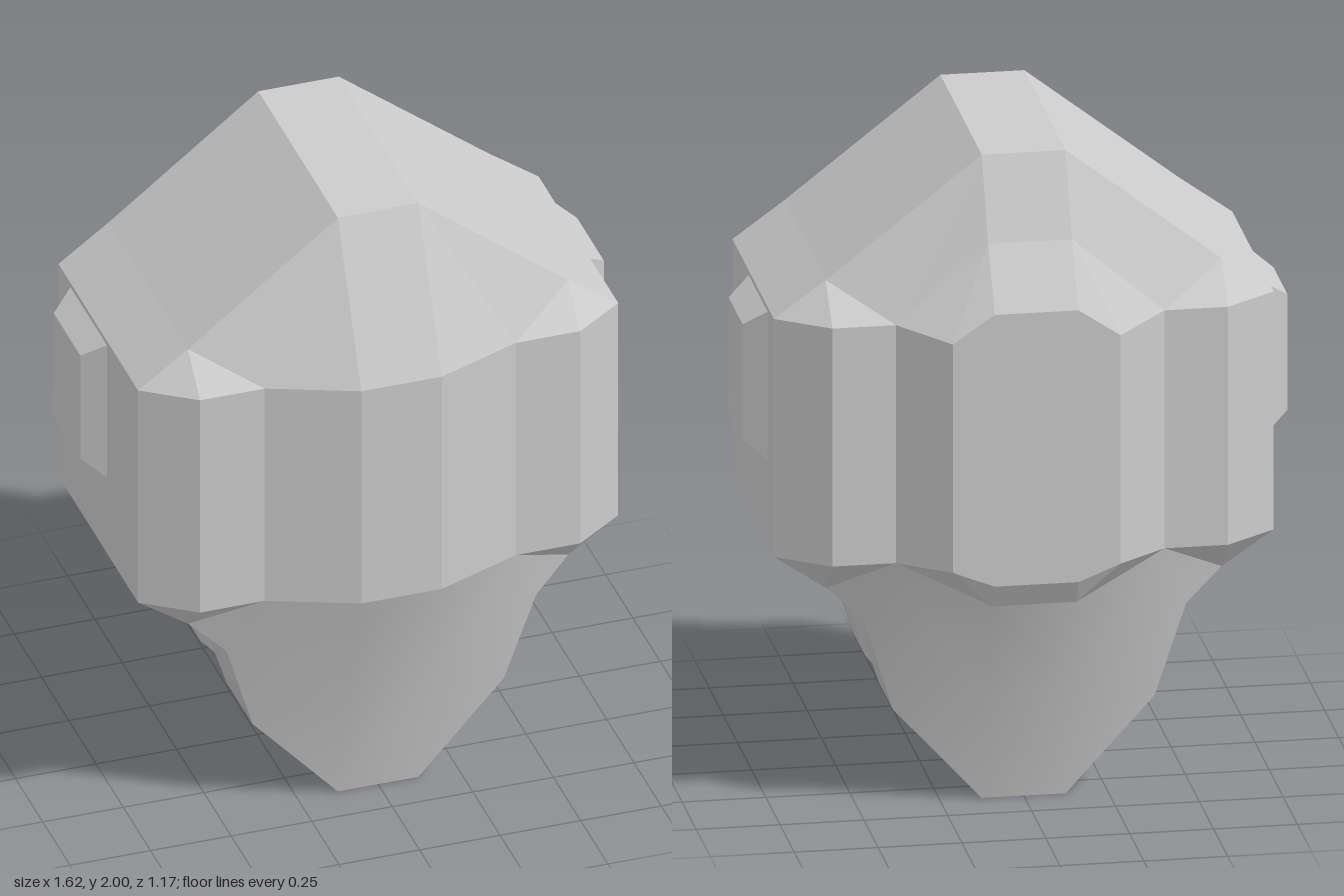
import * as THREE from 'three';
import { toCreasedNormals } from 'three/addons/utils/BufferGeometryUtils.js';

const flip = ([x, y, z]) => [-x, y, z];

// Collects convex polygons, each turned to face away from an inner point.
function shell(inner) {
  const pos = [];
  const centre = new THREE.Vector3(...inner);
  const tri = (a, b, c) => {
    const [p, q, r] = [a, b, c].map((v) => new THREE.Vector3(...v));
    const n = q.clone().sub(p).cross(r.clone().sub(p));
    const mid = p.clone().add(q).add(r).divideScalar(3).sub(centre);
    pos.push(...a, ...(n.dot(mid) < 0 ? [...c, ...b] : [...b, ...c]));
  };
  const poly = (pts) => {
    for (let i = 1; i < pts.length - 1; i++) tri(pts[0], pts[i], pts[i + 1]);
  };
  return {
    // a face on the left and its mirror image on the right
    pair(...pts) { poly(pts); poly(pts.map(flip)); },
    // a face crossing the middle, given by its left half
    span(...pts) { poly([...pts, ...pts.map(flip).reverse()]); },
    mesh(name, crease = 0) {
      let g = new THREE.BufferGeometry();
      g.setAttribute('position', new THREE.Float32BufferAttribute(pos, 3));
      if (crease) g = toCreasedNormals(g, crease);
      else g.computeVertexNormals();
      const m = new THREE.Mesh(g, new THREE.MeshStandardMaterial({ color: 0xcccccc, flatShading: !crease }));
      m.name = name;
      return m;
    },
  };
}

const TOP = 1.525, LOW = 0.785;
const zSide = { 1: 0.37, [-1]: -0.36 };   // side wall ends
const zCheek = { 1: 0.48, [-1]: -0.475 }; // cheek face depth

function makeWalls() {
  const s = shell([0, 1.15, 0]);
  const outlines = [
    [[0.745, 0], [0.745, 0.37], [0.59, 0.48], [0.39, 0.48], [0.125, 0.585], [0, 0.585]],
    [[0.745, 0], [0.745, -0.36], [0.59, -0.475], [0.4, -0.475]],
  ];
  for (const o of outlines) {
    for (let i = 0; i < o.length - 1; i++) {
      const [[x, z], [u, w]] = [o[i], o[i + 1]];
      s.pair([x, LOW, z], [u, LOW, w], [u, TOP, w], [x, TOP, z]);
    }
  }
  // eight-sided back plate
  const a = [0.125, 1.58, -0.59], b = [0.25, 1.495, -0.59], c = [0.25, LOW, -0.59], d = [0.125, 0.735, -0.59];
  s.span(a, b, c, d);
  s.pair([0.4, TOP, -0.475], b, c, [0.4, LOW, -0.475]);
  return s.mesh('headWalls');
}

function makeRoof() {
  const s = shell([0, 1.4, 0]);
  const ridge = (k) => [0.125, 2, zSide[k]];
  const hip = (k) => [0.59, 1.637, zSide[k]];
  const eave = (k) => [0.745, TOP, zSide[k]];
  const cheek = (k) => [0.59, TOP, zCheek[k]];
  s.span(ridge(1), ridge(-1));
  s.pair(ridge(1), hip(1), hip(-1), ridge(-1));
  s.pair(hip(1), eave(1), eave(-1), hip(-1));
  for (const k of [1, -1]) {
    const inner = [k > 0 ? 0.39 : 0.4, TOP, zCheek[k]];
    s.pair(hip(k), eave(k), cheek(k));
    s.pair(hip(k), cheek(k), inner);
    s.pair(hip(k), inner, ridge(k));
  }
  // front slope
  s.pair(ridge(1), [0.39, TOP, 0.48], [0.125, TOP, 0.585]);
  s.span(ridge(1), [0.125, TOP, 0.585]);
  // back slope bending towards the plate
  const mid = [0.125, 1.76, -0.47], plate = [0.125, 1.58, -0.59];
  const inner = [0.4, TOP, -0.475];
  s.span(ridge(-1), mid);
  s.span(mid, plate);
  s.pair(ridge(-1), inner, mid);
  s.pair(mid, inner, [0.25, 1.495, -0.59], plate);
  return s.mesh('roof');
}

// One half of the split lower part: k = 1 front, k = -1 back
function makeJaw(k) {
  const front = k > 0;
  const s = shell([0, 0.4, k * 0.25]);
  const zs = zSide[k];
  const gap = (z) => (front ? z : -z + 0.02);
  const a = [front ? 0.39 : 0.4, LOW, zCheek[k]];
  const c = [0.125, 0.345, front ? 0.45 : -0.435];
  const d = [0.39, 0.29, zs];
  const e = [0.48, 0.58, front ? 0.4 : -0.385];
  const f = [0.59, 0.68, zs];
  const b = front ? [0.125, LOW, 0.585] : [0.125, 0.66, -0.55];
  const toe = [0.125, 0, zs];
  // outer skin
  s.pair(a, b, c);
  s.pair(a, c, d);
  s.pair(a, d, e);
  s.pair(a, e, f);
  s.span(b, c);
  s.pair(c, d, toe);
  s.span(c, toe);
  // side panels and sole
  const eIn = [0.48, 0.58, gap(0.105)], dIn = [0.39, 0.29, gap(0.13)], toeIn = [0.125, 0, gap(0.13)];
  s.pair(e, eIn, dIn, d);
  s.pair(d, dIn, toeIn, toe);
  s.span(toe, toeIn);
  // face towards the gap
  const w1 = [0.33, 0.44, gap(0.055)], w2 = [0.28, 0.345, gap(0.055)];
  s.pair(eIn, w1, w2, dIn);
  s.pair(w2, toeIn, dIn);
  s.span(w2, toeIn);
  return s.mesh(front ? 'frontJaw' : 'backJaw', 0.55);
}

function makeUnderside() {
  const s = shell([0, 0.75, 0]);
  const f = (k) => [0.59, 0.68, zSide[k]];
  const h = (k) => [0.745, LOW, zSide[k]];
  const e = (k) => [0.48, 0.58, k > 0 ? 0.4 : -0.385];
  s.pair(h(1), h(-1), f(-1), f(1));
  s.pair(f(1), f(-1), e(-1), e(1));
  for (const k of [1, -1]) {
    const g = [0.59, LOW, zCheek[k]];
    s.pair(h(k), g, f(k));
    s.pair(f(k), g, [k > 0 ? 0.39 : 0.4, LOW, zCheek[k]]);
  }
  // web between the jaws
  const web = [[0.48, 0.58, 0.105], [0.33, 0.44, 0.055], [0.28, 0.345, 0.055]];
  const rear = web.map(([x, y, z]) => [x, y, -z + 0.02]);
  for (let i = 0; i < 2; i++) s.pair(web[i], rear[i], rear[i + 1], web[i + 1]);
  s.span(web[2], rear[2]);
  // lip below the back plate
  const lip = [0.125, 0.66, -0.55], edge = [0.125, 0.735, -0.59], corner = [0.25, LOW, -0.59];
  s.span(edge, lip);
  s.pair(edge, corner, lip);
  s.pair(corner, [0.4, LOW, -0.475], lip);
  return s.mesh('underside');
}

// Bevelled pads on both sides
function makeEars() {
  const s = shell([0, 1.28, -0.08]);
  const ring = (x, y0, y1, z0, z1) => [[x, y0, z0], [x, y1, z0], [x, y1, z1], [x, y0, z1]];
  const base = ring(0.745, 1.05, 1.51, -0.25, 0.085);
  const cap = ring(0.812, 1.1, 1.46, -0.205, 0.04);
  s.pair(...cap);
  for (let i = 0; i < 4; i++) {
    const j = (i + 1) % 4;
    s.pair(base[i], base[j], cap[j], cap[i]);
  }
  return s.mesh('ears');
}

export function createModel() {
  const model = new THREE.Group();
  model.name = 'head';
  model.add(makeWalls(), makeRoof(), makeJaw(1), makeJaw(-1), makeUnderside(), makeEars());
  return model;
}
